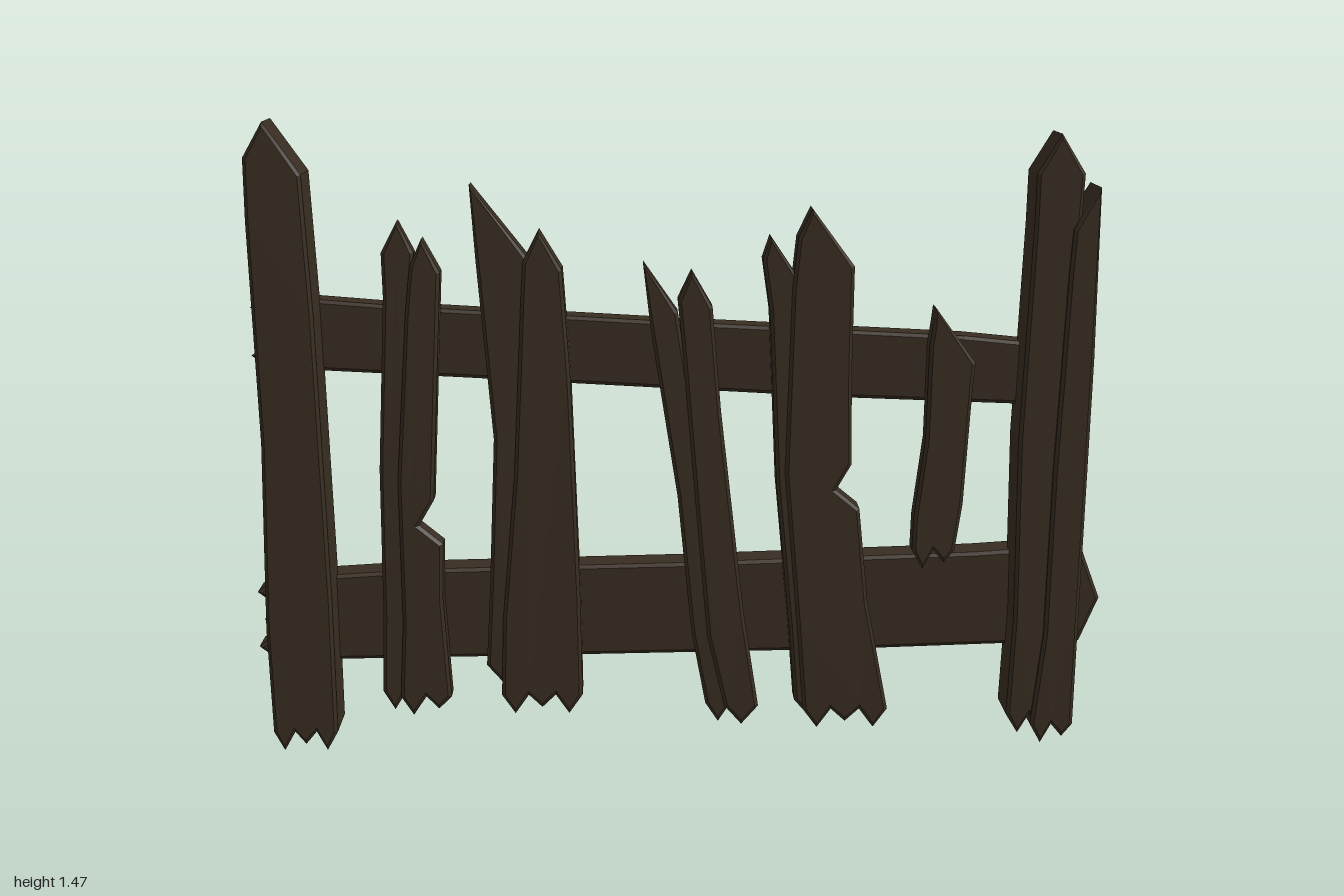
import * as THREE from 'three';

const BEVEL = 0.008;

// Repeatable roughness for the worn edges
const wobble = (n) => 0.007 * Math.sin(n * 12.9);

// Splintered plank. base and tip are [x, y, width]; bow bends its middle sideways,
// lean places the peak across the tip, sharp steepens it, notch is a break in the right edge.
function plank({ base, tip, lean, front, back = -0.012, bow = 0, sharp = 1, notch }) {
  const [x0, y0, w0] = base;
  const [x1, y1, w1] = tip;
  const mix = THREE.MathUtils.lerp;
  const centre = (t) => mix(x0, x1, t) + bow * Math.sin(Math.PI * t);
  const edge = (t, side) => centre(t) + side * mix(w0, w1, t) / 2;
  const shape = [];
  const add = (x, y) => shape.push(new THREE.Vector2(x, y));

  // Jagged foot, left to right
  const steps = 2 * Math.max(1, Math.round(w0 / 0.06));
  for (let i = 0; i <= steps; i++) {
    const lift = i % 2 === 0 ? 0.045 : i % 4 === 3 ? 0.015 : 0;
    add(x0 + (i / steps - 0.5) * w0, y0 + lift);
  }
  // Right edge going up, with its break
  add(edge(0.25, 1) + wobble(x0), mix(y0, y1, 0.25));
  if (notch) {
    const t = (notch - y0) / (y1 - y0);
    add(edge(t, 1), notch - 0.045);
    add(edge(t, 1) - 0.055, notch);
    add(edge(t, 1) - 0.02, notch + 0.06);
  }
  add(edge(0.7, 1) + wobble(x1), mix(y0, y1, 0.7));
  // Pointed tip: each shoulder drops further the farther it is from the peak
  const drop = (distance) => 0.035 + sharp * distance * w1;
  if (lean < 1) add(x1 + w1 / 2, y1 - drop(1 - lean));
  add(x1 + (lean - 0.5) * w1, y1);
  if (lean > 0) add(x1 - w1 / 2, y1 - drop(lean));
  // Left edge going down
  for (const t of [0.85, 0.5, 0.2]) add(edge(t, -1) + wobble(x0 + t), mix(y0, y1, t));

  const geo = new THREE.ExtrudeGeometry(new THREE.Shape(shape), {
    depth: front - back - 2 * BEVEL,
    bevelEnabled: true, bevelSegments: 1,
    bevelSize: BEVEL, bevelOffset: -BEVEL, bevelThickness: BEVEL,
  });
  return geo.translate(0, 0, back + BEVEL);
}

// Corner posts; the right one is split along its grain
const posts = [
  { name: 'leftPost', base: [-0.88, 0, 0.15], tip: [-0.92, 1.47, 0.13], lean: 0.35, front: 0.105 },
  { name: 'rightPostInnerHalf', base: [0.825, 0.03, 0.11], tip: [0.865, 1.44, 0.11], lean: 0.5, front: 0.095 },
  { name: 'rightPostOuterHalf', base: [0.875, 0.01, 0.1], tip: [0.925, 1.32, 0.06], lean: 1, front: 0.11, bow: 0.01 },
];

// Pickets, most of them cracked into two halves
const pickets = [
  { name: 'secondPicketLeftHalf', base: [-0.675, 0.08, 0.055], tip: [-0.648, 1.24, 0.075], lean: 0.5, front: 0.045 },
  { name: 'secondPicketRightHalf', base: [-0.6, 0.07, 0.12], tip: [-0.585, 1.2, 0.07], lean: 0.4, front: 0.058, bow: -0.01, notch: 0.53 },
  { name: 'thirdPicketLeftHalf', base: [-0.415, 0.15, 0.08], tip: [-0.415, 1.325, 0.13], lean: 0, front: 0.07, bow: 0.03 },
  { name: 'thirdPicketRightHalf', base: [-0.325, 0.08, 0.19], tip: [-0.315, 1.22, 0.09], lean: 0.4, front: 0.082 },
  { name: 'fourthPicketLeftHalf', base: [0.09, 0.05, 0.06], tip: [-0.045, 1.145, 0.08], lean: 0, front: 0.056 },
  { name: 'fourthPicketRightHalf', base: [0.145, 0.045, 0.08], tip: [0.035, 1.125, 0.08], lean: 0.4, front: 0.064, bow: -0.02 },
  { name: 'fifthPicketLeftHalf', base: [0.31, 0.06, 0.08], tip: [0.235, 1.205, 0.09], lean: 0.2, front: 0.068 },
  { name: 'fifthPicketRightHalf', base: [0.39, 0.04, 0.2], tip: [0.335, 1.27, 0.13], lean: 0.25, front: 0.077, bow: -0.03, notch: 0.615 },
  { name: 'sixthPicket', base: [0.595, 0.42, 0.1], tip: [0.635, 1.04, 0.1], lean: 0.05, front: 0.056 },
];

// Cross rails, built upright and laid on their side behind the pickets
const rails = [
  { name: 'upperRail', base: [-0.975, -1, 0.17], tip: [-0.87, 0.96, 0.14], lean: 0.4, sharp: 0.1, back: -0.1, front: -0.01, yaw: -0.018 },
  { name: 'lowerRail', base: [-0.288, -1, 0.2], tip: [-0.345, 1, 0.235], lean: 0.55, sharp: 0.1, back: -0.107, front: -0.004, yaw: -0.003 },
];

export function createModel() {
  const group = new THREE.Group();
  group.name = 'brokenFence';
  const wood = new THREE.MeshStandardMaterial({ color: 0x382d21 });
  wood.name = 'dark weathered wood';
  const place = (part) => {
    const mesh = new THREE.Mesh(plank(part), wood);
    mesh.name = part.name;
    group.add(mesh);
    return mesh;
  };
  for (const post of posts) place({ ...post, back: -0.047 });
  for (const picket of pickets) place(picket);
  for (const rail of rails) place(rail).rotation.set(0, rail.yaw, -Math.PI / 2);
  return group;
}
